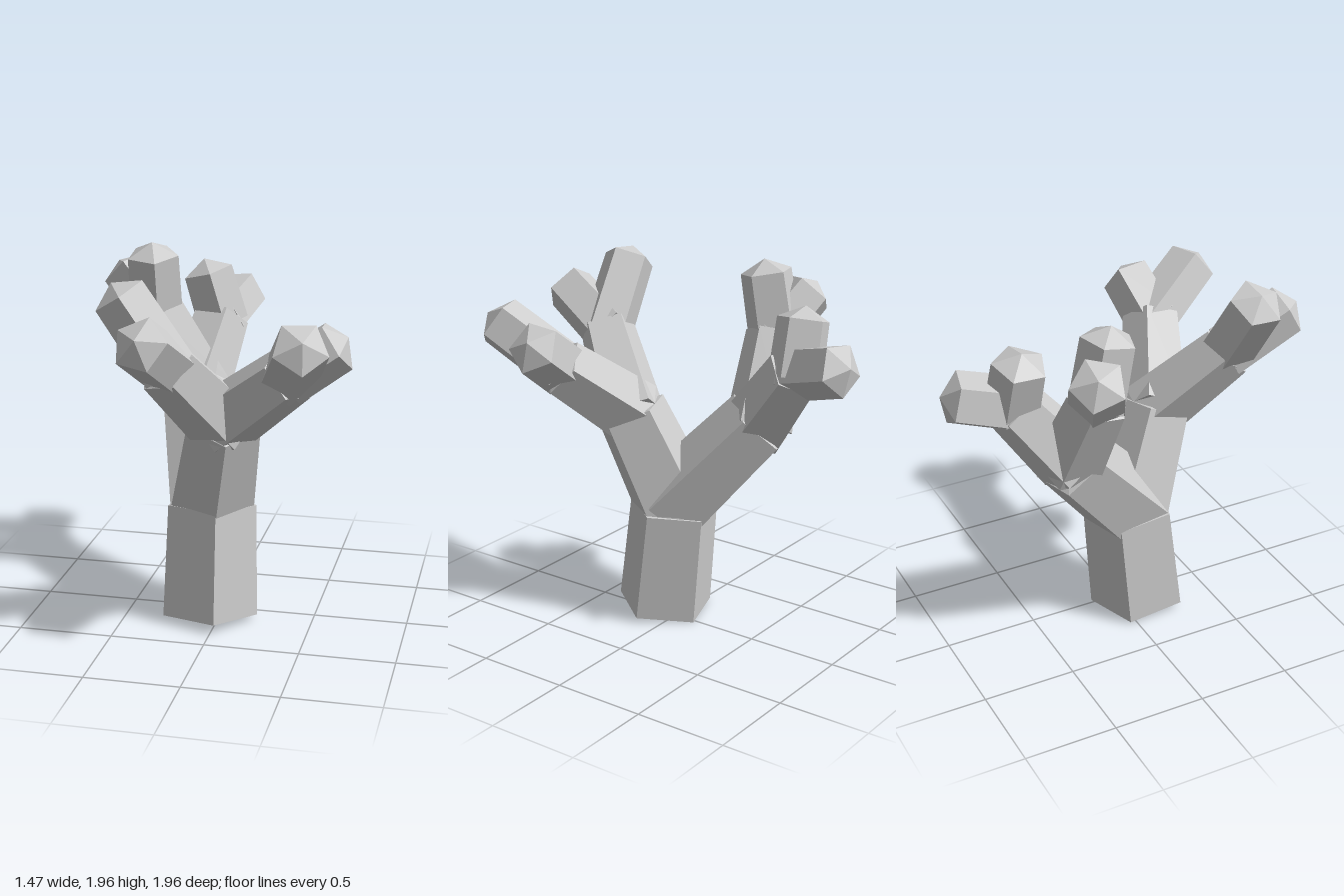
import * as THREE from 'three';

const UP = new THREE.Vector3(0, 1, 0);

// Flat-faced five-sided limb from point a to point b, closed by a pointed or flat end
function limb(name, a, b, r0, r1, capHeight, overlap, material) {
  const start = new THREE.Vector3(...a);
  const end = new THREE.Vector3(...b);
  const dir = end.clone().sub(start).normalize();
  start.addScaledVector(dir, -overlap); // sink the base into the parent limb
  const length = start.distanceTo(end);
  const profile = [[0, 0], [r0, 0], [r1, length], [0, length + capHeight]]
    .map(([x, y]) => new THREE.Vector2(x, y));
  const geometry = new THREE.LatheGeometry(profile, 5, Math.PI / 2).toNonIndexed();
  geometry.computeVertexNormals();
  const mesh = new THREE.Mesh(geometry, material);
  mesh.name = name;
  mesh.position.copy(start);
  mesh.quaternion.setFromUnitVectors(UP, dir);
  return mesh;
}

// Branch tree: every entry ends at "to" and splits into its children
const TREE = {
  name: 'trunk', to: [-0.06, 0.63, 0.055],
  children: [
    {
      name: 'frontBranch', to: [0.05, 1.15, 0.265],
      children: [
        {
          name: 'frontLeftBranch', to: [0.42, 1.46, 0.44],
          children: [
            { name: 'frontLeftForwardTip', to: [0.53, 1.68, 0.75] },
            { name: 'frontLeftOuterTip', to: [0.65, 1.62, 0.41] },
          ],
        },
        {
          name: 'frontRightBranch', to: [-0.16, 1.51, 0.58],
          children: [
            { name: 'frontRightUpperTip', to: [-0.39, 1.86, 0.6] },
            { name: 'frontRightForwardTip', to: [-0.21, 1.69, 0.89] },
          ],
        },
      ],
    },
    {
      name: 'rearBranch', to: [-0.24, 1.14, -0.375],
      children: [
        {
          name: 'rearRightBranch', to: [-0.45, 1.57, -0.32],
          children: [
            { name: 'rearRightOuterTip', to: [-0.64, 1.77, -0.41] },
            { name: 'rearRightUpperTip', to: [-0.45, 1.89, -0.26] },
          ],
        },
        {
          name: 'rearLeftBranch', to: [-0.16, 1.48, -0.64],
          children: [
            { name: 'rearLeftBackTip', to: [-0.1, 1.56, -0.93] },
            { name: 'rearLeftUpperTip', to: [-0.235, 1.74, -0.63] },
          ],
        },
      ],
    },
  ],
};

// Start and end radius for trunk, main branches, side branches and tips
const RADII = [[0.265, 0.247], [0.235, 0.2], [0.19, 0.157], [0.148, 0.142]];

export function createModel() {
  const model = new THREE.Group();
  model.name = 'branchingTree';
  const bark = new THREE.MeshStandardMaterial({ color: 0xcccccc });
  bark.name = 'pale grey';

  const grow = (node, from, level) => {
    const [r0, r1] = RADII[level];
    const cap = level === 3 ? 0.07 : 0.03;
    model.add(limb(node.name, from, node.to, r0, r1, cap, level ? 0.03 : 0, bark));
    (node.children || []).forEach((child) => grow(child, node.to, level + 1));
  };
  grow(TREE, [-0.06, 0.028, 0.118], 0);

  return model;
}
